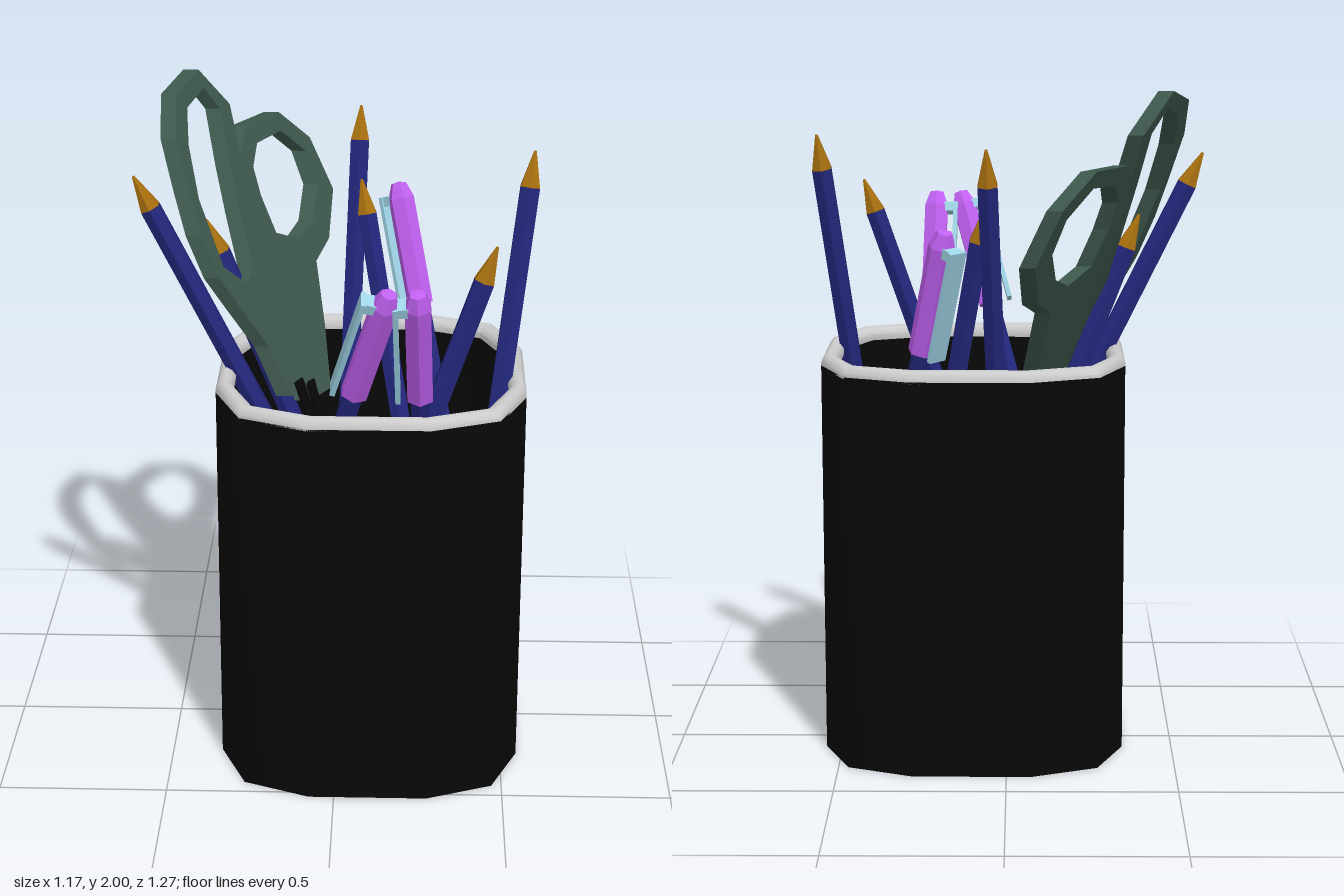
import * as THREE from 'three';
import { toCreasedNormals } from 'three/addons/utils/BufferGeometryUtils.js';

const mat = (color, side = THREE.FrontSide, flatShading = true) =>
  new THREE.MeshStandardMaterial({ color, side, flatShading });
const black = mat(0x080808, THREE.DoubleSide, false);
const bladeBlack = mat(0x080808, THREE.DoubleSide);
const grey = mat(0xcccccc, THREE.DoubleSide, false);
const blue = mat(0x23277c);
const gold = mat(0xa8700f);
const purple = mat(0xc060f0);
const paleBlue = mat(0x9fd4e6);
const green = mat(0x3d574c, THREE.DoubleSide);

function part(name, geometry, material, x = 0, y = 0, z = 0) {
  const mesh = new THREE.Mesh(geometry, material);
  mesh.name = name;
  mesh.position.set(x, y, z);
  return mesh;
}

// Twelve-cornered ring shared by the cup and its rim, in lathe order
const ring = [];
for (const [sx, sz] of [[1, 1], [1, -1], [-1, -1], [-1, 1]]) {
  const quarter = [[0.175, 0.45], [0.37, 0.37], [0.45, 0.175]];
  if (sx !== sz) quarter.reverse();
  for (const [x, z] of quarter) ring.push([x * sx, z * sz]);
}

// Lathe whose columns are moved onto the ring
function ringLathe(profile) {
  const pts = profile.map(([r, y]) => new THREE.Vector2(r, y));
  const geo = new THREE.LatheGeometry(pts, 12);
  const pos = geo.attributes.position;
  for (let i = 0; i < pos.count; i++) {
    const [x, z] = ring[Math.floor(i / pts.length) % 12];
    const p = pts[i % pts.length];
    pos.setXYZ(i, x * p.x, p.y, z * p.x);
  }
  return toCreasedNormals(geo, 0.9);
}

// Group standing on base, its y axis towards tip and its x axis towards side
function stick(name, base, tip, side = [1, 0, 0]) {
  const a = new THREE.Vector3(...base);
  const y = new THREE.Vector3(...tip).sub(a);
  const length = y.length();
  y.normalize();
  const x = new THREE.Vector3(...side);
  x.addScaledVector(y, -x.dot(y)).normalize();
  const z = new THREE.Vector3().crossVectors(x, y);
  const group = new THREE.Group();
  group.name = name;
  group.quaternion.setFromRotationMatrix(new THREE.Matrix4().makeBasis(x, y, z));
  group.position.copy(a);
  return { group, length };
}

function pencil(base, tip) {
  const { group, length } = stick('pencil', base, tip);
  const body = length - 0.105;
  group.add(part('pencilBody', new THREE.CylinderGeometry(0.032, 0.032, body, 6), blue, 0, body / 2, 0));
  group.add(part('pencilTip', new THREE.CylinderGeometry(0.004, 0.032, 0.105, 6), gold, 0, body + 0.0525, 0));
  return group;
}

function pen(base, tip, side) {
  const { group, length } = stick('pen', base, tip, side);
  const body = length - 0.3;
  group.add(part('penBody', new THREE.CylinderGeometry(0.03, 0.03, body, 6), blue, 0, body / 2, 0));
  const profile = [[0, 0], [0.041, 0], [0.041, 0.33], [0.024, 0.375], [0, 0.38]]
    .map(([r, y]) => new THREE.Vector2(r, y));
  group.add(part('penCap', new THREE.LatheGeometry(profile, 6), purple, 0, length - 0.38, 0));
  group.add(part('capClip', new THREE.BoxGeometry(0.014, 0.34, 0.06), paleBlue, 0.062, length - 0.21, 0));
  group.add(part('clipBridge', new THREE.BoxGeometry(0.04, 0.03, 0.05), paleBlue, 0.045, length - 0.055, 0));
  return group;
}

// Scissor handle outlined in (z, y) and sheared onto a leaning plane
function handle(name, outline, hole, xAt) {
  const shape = new THREE.Shape(outline.map(p => new THREE.Vector2(...p)));
  shape.holes.push(new THREE.Path(hole.map(p => new THREE.Vector2(...p))));
  const geo = new THREE.ExtrudeGeometry(shape, { depth: 0.045, bevelEnabled: false });
  const pos = geo.attributes.position;
  for (let i = 0; i < pos.count; i++) {
    const z = pos.getX(i), y = pos.getY(i);
    pos.setXYZ(i, xAt(y, z) + 0.0225 - pos.getZ(i), y, z);
  }
  geo.computeVertexNormals();
  return part(name, geo, green);
}

function blade(base, top) {
  const { group, length } = stick('scissorBlade', base, top);
  const geo = new THREE.CylinderGeometry(0.08, 0.01, length, 4);
  geo.scale(0.2, 1, 1);
  group.add(part('bladeSteel', geo, bladeBlack, 0, length / 2, 0));
  return group;
}

export function createModel() {
  const model = new THREE.Group();
  model.name = 'deskCup';

  // Cup with hollow inside and rounded rim
  model.add(part('cup', ringLathe([[0, 0], [1, 0], [1, 1.18], [0.9, 1.18], [0.9, 0.04], [0, 0.04]]), black, 0.1, 0, 0.075));
  model.add(part('rim', ringLathe([[0.89, 1.17], [1, 1.175], [1.0, 1.19], [0.975, 1.207],
    [0.945, 1.212], [0.91, 1.205], [0.885, 1.19], [0.89, 1.17]]), grey, 0.1, 0, 0.075));

  // Pencils
  const pencils = [
    [[0.27, 0.06, 0.085], [-0.585, 1.79, 0.12]],
    [[0.22, 0.06, -0.09], [-0.39, 1.62, -0.015]],
    [[-0.01, 0.06, -0.04], [0.055, 1.85, -0.46]],
    [[0.34, 0.06, 0.03], [0.06, 1.67, -0.275]],
    [[0.34, 0.06, 0.36], [0.565, 1.85, 0.03]],
    [[-0.11, 0.06, 0.42], [0.45, 1.68, 0.4]],
  ];
  for (const [base, tip] of pencils) model.add(pencil(base, tip));

  // Capped pens
  model.add(pen([-0.29, 0.07, 0.03], [0.155, 1.62, 0.62], [-1, 0, 0]));
  model.add(pen([0.28, 0.07, 0.02], [0.23, 1.62, 0.62], [-1, 0, 0]));
  model.add(pen([0.48, 0.07, 0.0], [0.17, 1.62, -0.42], [-0.7, 0, -0.7]));

  // Scissors: two ring handles and two blades
  model.add(handle('upperHandle',
    [[0.07, 1.1], [0.05, 1.25], [0.08, 1.37], [0.105, 1.48], [0.085, 1.6], [0.035, 1.72], [-0.03, 1.86],
      [-0.135, 1.965], [-0.29, 2.0], [-0.35, 1.88], [-0.255, 1.7], [-0.165, 1.47], [-0.08, 1.22], [-0.03, 1.1]],
    [[0.06, 1.5], [0.01, 1.69], [-0.07, 1.83], [-0.15, 1.92], [-0.27, 1.95], [-0.295, 1.88],
      [-0.205, 1.73], [-0.135, 1.6], [-0.06, 1.45], [0.0, 1.43]],
    (y, z) => -0.45 - 0.5 * (y - 2) - 0.45 * (z + 0.29)));
  model.add(handle('lowerHandle',
    [[-0.02, 1.05], [-0.085, 1.21], [-0.16, 1.4], [-0.23, 1.57], [-0.285, 1.71], [-0.39, 1.8], [-0.56, 1.8],
      [-0.63, 1.7], [-0.605, 1.54], [-0.47, 1.42], [-0.365, 1.38], [-0.25, 1.21], [-0.13, 1.05]],
    [[-0.27, 1.5], [-0.295, 1.61], [-0.33, 1.69], [-0.4, 1.745], [-0.525, 1.75], [-0.58, 1.67],
      [-0.55, 1.57], [-0.445, 1.485], [-0.35, 1.455]],
    (y, z) => -0.315 - 0.55 * (y - 1.8) - 0.55 * (z + 0.4)));
  model.add(blade([0.25, 0.06, 0.2], [-0.12, 1.13, 0.02]));
  model.add(blade([0.2, 0.06, 0.14], [-0.09, 1.1, -0.06]));

  return model;
}
